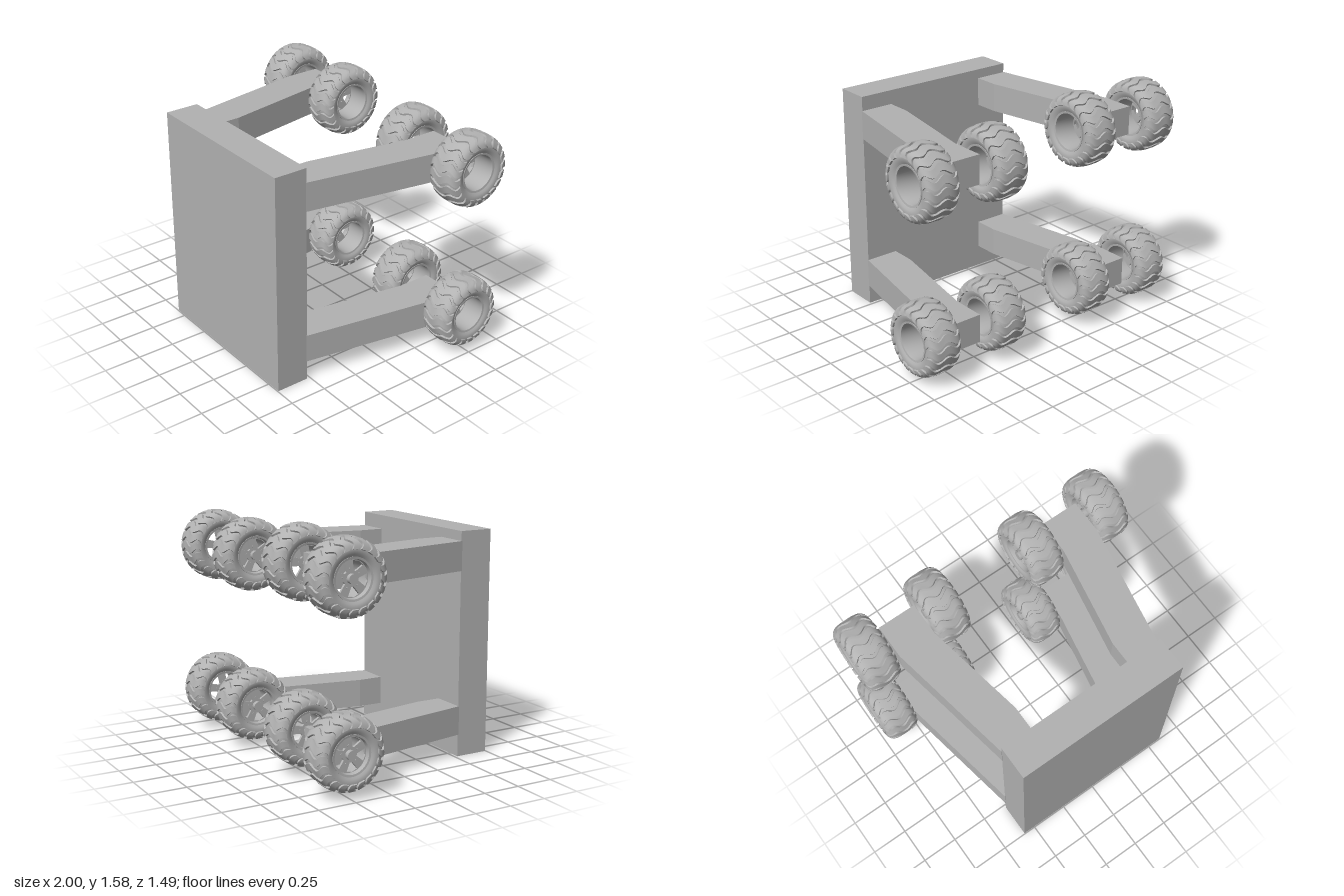
import * as THREE from 'three';
import { mergeGeometries, toCreasedNormals } from 'three/addons/utils/BufferGeometryUtils.js';

const grey = new THREE.MeshStandardMaterial({ color: 0xb2b2b2 });
grey.name = 'plain grey';

const part = (name, geometry) => {
  const mesh = new THREE.Mesh(geometry, grey);
  mesh.name = name;
  return mesh;
};

// Lathe around the x axis; points are [radius, x]
function latheX(points, crease = 0.6) {
  const g = new THREE.LatheGeometry(points.map(([r, x]) => new THREE.Vector2(r, x)), 56);
  return toCreasedNormals(g.rotateZ(-Math.PI / 2), crease);
}

// Half of the tyre carcass section, from the bead to the crown
const half = [[0.124, 0.092], [0.145, 0.106], [0.172, 0.112], [0.2, 0.104], [0.219, 0.082], [0.227, 0.045]];
const section = [...half.map(([r, x]) => [r, -x]), [0.229, 0], ...half.slice().reverse()];

// Wavy tread bars wrapping over the crown and down both shoulders
function treadGeometry() {
  const curve = new THREE.SplineCurve(section.slice(2, -2).map(([r, x]) => new THREE.Vector2(x, r)));
  const bars = 20, steps = 22, tris = [];
  for (let b = 0; b < bars; b++) {
    const rings = [];
    for (let i = 0; i <= steps; i++) {
      const t = i / steps, s = t * 2 - 1;
      const p = curve.getPoint(t), d = curve.getTangent(t);
      const turn = (b / bars) * Math.PI * 2 + 0.07 * Math.cos(s * Math.PI * 2.6);
      const at = (lift, angle) => {
        const r = p.y + d.x * lift;
        return [p.x - d.y * lift, r * Math.cos(angle), r * Math.sin(angle)];
      };
      rings.push([at(-0.006, turn - 0.115), at(0.011, turn - 0.1), at(0.011, turn + 0.1), at(-0.006, turn + 0.115)]);
    }
    const quad = (a, c, e, f) => tris.push(...a, ...c, ...e, ...a, ...e, ...f);
    for (let i = 0; i < steps; i++)
      for (let k = 0; k < 3; k++)
        quad(rings[i][k], rings[i][k + 1], rings[i + 1][k + 1], rings[i + 1][k]);
    const [a, c, e, f] = rings[0];
    quad(f, e, c, a);
    quad(...rings[steps]);
  }
  const g = new THREE.BufferGeometry();
  g.setAttribute('position', new THREE.Float32BufferAttribute(tris, 3));
  return toCreasedNormals(g, 0.6);
}

// Disc with five wedge-shaped windows, set near the -x side of the rim
function spokeGeometry() {
  const disc = new THREE.Shape().absarc(0, 0, 0.12, 0, Math.PI * 2);
  for (let i = 0; i < 5; i++) {
    const a = THREE.MathUtils.degToRad(45 + i * 72);
    const corners = [[0.05, -0.16], [0.106, -0.36], [0.11, 0], [0.106, 0.36], [0.05, 0.16]];
    disc.holes.push(new THREE.Path(corners.map(([r, da]) =>
      new THREE.Vector2(r * Math.cos(a + da), r * Math.sin(a + da)))));
  }
  const g = new THREE.ExtrudeGeometry(disc, { depth: 0.018, bevelEnabled: false, curveSegments: 40 });
  return g.rotateY(Math.PI / 2).translate(-0.07, 0, 0);
}

// Hub barrel and a ring of bolts
function hubGeometry() {
  const rod = (r, x0, x1, sides) =>
    new THREE.CylinderGeometry(r, r, x1 - x0, sides).rotateZ(-Math.PI / 2).translate((x0 + x1) / 2, 0, 0);
  const pieces = [rod(0.03, -0.1, -0.04, 24)];
  for (let i = 0; i < 5; i++) {
    const a = THREE.MathUtils.degToRad(81 + i * 72);
    pieces.push(rod(0.006, -0.076, -0.046, 8).translate(0, 0.058 * Math.sin(a), -0.058 * Math.cos(a)));
  }
  return mergeGeometries(pieces);
}

export function createModel() {
  const model = new THREE.Group();
  model.name = 'plate on wheeled arms';

  // Upright plate
  const plate = part('plate', new THREE.BoxGeometry(1.18, 1.485, 0.225));
  plate.position.set(0.008, 0.7425, 0.633);
  model.add(plate);

  // Bent arms; outline points are [distance from the centre line, z]
  const outline = [[0.365, 0.525], [0.592, 0.525], [0.748, -0.33], [0.748, -0.56], [0.49, -0.56], [0.49, -0.33], [0.365, 0.35]];
  const addArm = (name, side, bottom) => {
    const shape = new THREE.Shape(outline.map(([x, z]) => new THREE.Vector2(side * x, -z)));
    const g = new THREE.ExtrudeGeometry(shape, { depth: 0.192, bevelEnabled: false });
    const arm = part(name, g.rotateX(-Math.PI / 2));
    arm.position.set(0.007, bottom, 0);
    model.add(arm);
  };
  addArm('upperRightArm', -1, 1.23);
  addArm('upperLeftArm', 1, 1.198);
  addArm('lowerRightArm', -1, 0.148);
  addArm('lowerLeftArm', 1, 0.133);

  // Wheels, all facing the same way
  const shapes = {
    tyre: latheX(section, 1),
    tread: treadGeometry(),
    rim: latheX([[0.117, -0.098], [0.13, -0.1], [0.13, 0.1], [0.117, 0.098], [0.114, 0.08], [0.112, -0.08], [0.117, -0.098]]),
    spokes: spokeGeometry(),
    hub: hubGeometry(),
  };
  const wheels = [
    ['upperRightOuterWheel', -0.879, 1.327], ['upperRightInnerWheel', -0.356, 1.343],
    ['upperLeftInnerWheel', 0.364, 1.295], ['upperLeftOuterWheel', 0.878, 1.295],
    ['lowerRightOuterWheel', -0.864, 0.278], ['lowerRightInnerWheel', -0.356, 0.294],
    ['lowerLeftInnerWheel', 0.364, 0.278], ['lowerLeftOuterWheel', 0.878, 0.278],
  ];
  for (const [name, x, y] of wheels) {
    const wheel = new THREE.Group();
    wheel.name = name;
    for (const [piece, geometry] of Object.entries(shapes)) wheel.add(part(piece, geometry));
    wheel.position.set(x, y, -0.505);
    model.add(wheel);
  }
  return model;
}
